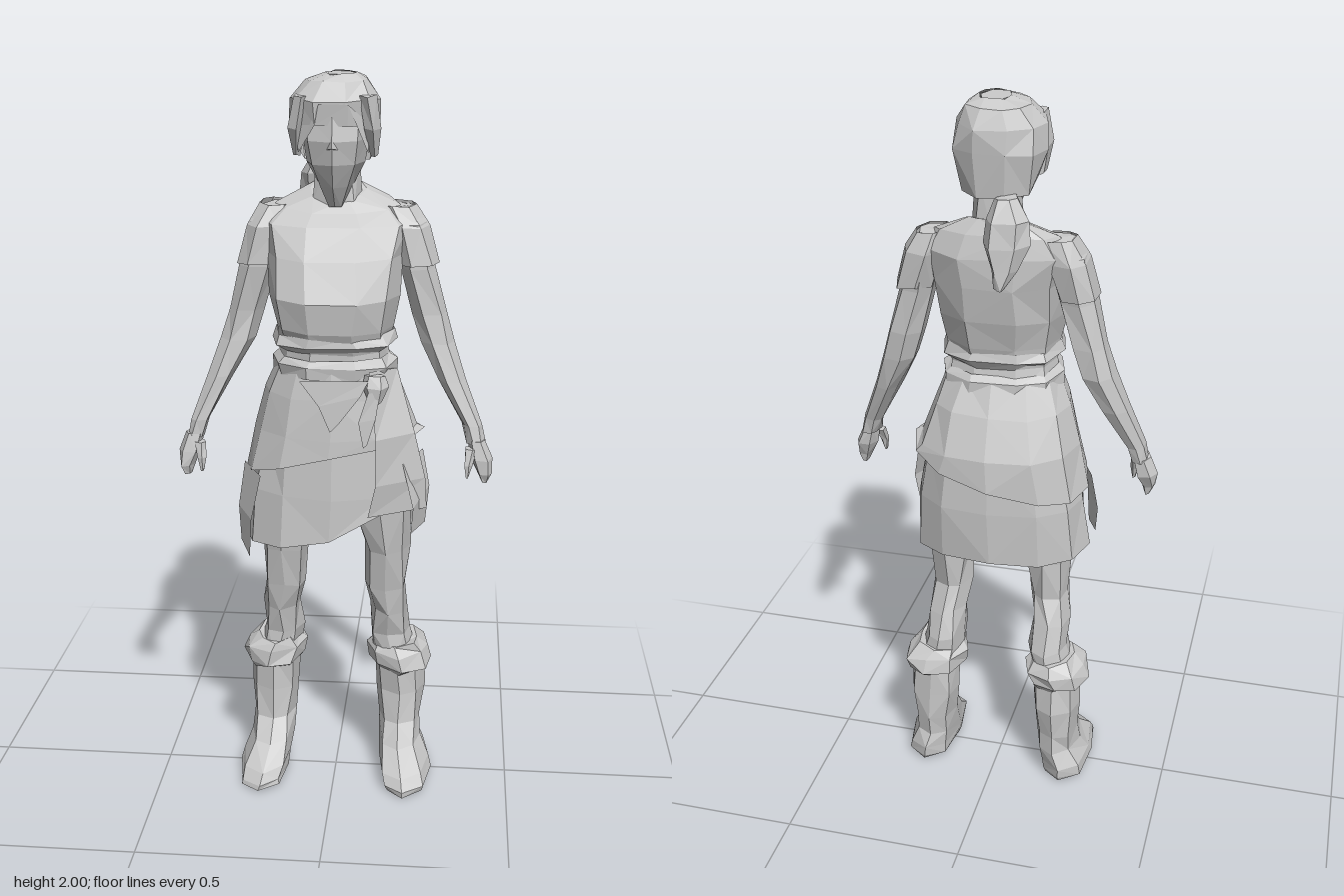
import * as THREE from 'three';

const stone = new THREE.MeshStandardMaterial({ color: 0xcccccc, side: THREE.DoubleSide });
stone.name = 'plain grey';

// Small repeatable offsets that give the facets a hand-cut look
let seed = 7;
const wobble = (amount) => {
  seed = (seed * 16807) % 2147483647;
  return (seed / 2147483647 - 0.5) * 2 * amount;
};

const bend = (v, p) => Math.sign(v) * Math.pow(Math.abs(v), p);

// Rings from top to bottom, each row: [y, xMin, xMax, zBack, zFront, forward tilt]
// hem(angle) drops the last ring; angle 0 is the model's left, PI/2 the front.
function loft(rows, { sides = 8, open = false, hem = null, rough = 0.005, power = 0.85, turn = 0 } = {}) {
  const pos = [], index = [];
  rows.forEach(([y, x0, x1, zb, zf, tilt = 0], r) => {
    for (let i = 0; i < sides; i++) {
      const a = ((i + turn) / sides) * Math.PI * 2;
      const c = bend(Math.cos(a), power), s = bend(Math.sin(a), power);
      const drop = hem && r === rows.length - 1 ? hem(a) : 0;
      pos.push((x0 + x1) / 2 + (c * (x1 - x0)) / 2 + wobble(rough),
        y + tilt * s + drop + wobble(rough * 0.7),
        (zb + zf) / 2 + (s * (zf - zb)) / 2 + wobble(rough));
    }
  });
  for (let r = 0; r < rows.length - 1; r++) {
    for (let i = 0; i < sides; i++) {
      const a = r * sides + i, b = r * sides + ((i + 1) % sides), c = a + sides, d = b + sides;
      if ((r + i) % 2) index.push(a, b, c, b, d, c);
      else index.push(a, b, d, a, d, c);
    }
  }
  if (!open) {
    const last = (rows.length - 1) * sides;
    for (let i = 1; i < sides - 1; i++) {
      index.push(0, i + 1, i, last, last + i, last + i + 1);
    }
  }
  return facet(pos, index);
}

function facet(pos, index) {
  const g = new THREE.BufferGeometry();
  g.setAttribute('position', new THREE.Float32BufferAttribute(pos, 3));
  g.setIndex(index);
  const flat = g.toNonIndexed();
  flat.computeVertexNormals();
  return flat;
}

// Thin strip of cloth: rows of left point and right point
function strip(rows) {
  const index = [];
  for (let i = 0; i < rows.length - 1; i++) {
    const a = i * 2;
    index.push(a, a + 2, a + 1, a + 1, a + 2, a + 3);
  }
  return facet(rows.flat(), index);
}

const flip = (rows, s) => rows.map(([y, a, b, ...rest]) => (s > 0 ? [y, a, b, ...rest] : [y, -b, -a, ...rest]));

export function createModel() {
  const model = new THREE.Group();
  model.name = 'standing figure';
  const add = (name, geometry) => {
    const mesh = new THREE.Mesh(geometry, stone);
    mesh.name = name;
    model.add(mesh);
  };

  // Head, with the face narrowing to the chin
  add('head', loft([
    [1.96, -0.07, 0.07, -0.1, 0.09],
    [1.9, -0.085, 0.085, -0.11, 0.115],
    [1.84, -0.085, 0.085, -0.11, 0.125],
    [1.78, -0.075, 0.075, -0.1, 0.11],
    [1.72, -0.045, 0.045, -0.08, 0.08],
    [1.665, -0.02, 0.02, -0.04, 0.04],
  ], { rough: 0.002 }));
  add('nose', facet(
    [0, 1.87, 0.118, -0.015, 1.82, 0.112, 0.015, 1.82, 0.112, 0, 1.825, 0.135],
    [0, 1, 3, 0, 3, 2, 1, 2, 3]));

  // Hair cap, high over the brow and low at the sides and nape
  add('hair', loft([
    [2.0, -0.03, 0.05, -0.07, 0.05],
    [1.985, -0.075, 0.08, -0.115, 0.09],
    [1.94, -0.115, 0.11, -0.135, 0.13],
    [1.88, -0.122, 0.118, -0.14, 0.12],
    [1.8, -0.105, 0.105, -0.125, 0.122],
  ], { sides: 10, open: true, rough: 0.006,
    hem: (a) => (Math.sin(a) > 0.6 ? 0.13 : Math.sin(a) < -0.5 ? -0.03 : 0.01) }));
  add('hairCrown', loft([
    [2.0, -0.03, 0.05, -0.07, 0.05],
    [1.97, -0.03, 0.05, -0.07, 0.05],
  ], { sides: 6, rough: 0 }));
  for (const s of [-1, 1]) {
    add('sideLock', loft(flip([
      [1.95, 0.06, 0.105, 0.02, 0.115],
      [1.87, 0.075, 0.12, 0.01, 0.11],
      [1.8, 0.09, 0.108, 0.02, 0.075],
    ], s), { sides: 5, rough: 0.004 }));
  }
  add('ponytail', loft([
    [1.78, -0.07, -0.015, -0.165, -0.1],
    [1.73, -0.105, 0.0, -0.2, -0.09],
    [1.67, -0.11, 0.005, -0.205, -0.11],
    [1.61, -0.085, -0.015, -0.205, -0.14],
    [1.565, -0.055, -0.03, -0.205, -0.18],
  ], { sides: 6 }));
  add('neck', loft([
    [1.8, -0.055, 0.055, -0.1, 0.02],
    [1.66, -0.07, 0.07, -0.12, 0.03],
  ], { sides: 7 }));

  // Upper body in a fitted tunic
  add('torso', loft([
    [1.7, -0.075, 0.075, -0.125, 0.015, -0.02],
    [1.665, -0.16, 0.16, -0.14, 0.045, -0.015],
    [1.62, -0.2, 0.2, -0.15, 0.09],
    [1.54, -0.18, 0.18, -0.145, 0.15],
    [1.44, -0.172, 0.172, -0.13, 0.205],
    [1.36, -0.158, 0.158, -0.105, 0.19],
    [1.3, -0.145, 0.145, -0.09, 0.16],
    [1.24, -0.155, 0.155, -0.1, 0.16],
  ], { sides: 10 }));
  add('tunicFold', loft([
    [1.35, -0.158, 0.158, -0.095, 0.175],
    [1.32, -0.168, 0.168, -0.105, 0.185],
    [1.3, -0.145, 0.145, -0.08, 0.16],
  ], { sides: 10, open: true, rough: 0.007 }));
  add('belt', loft([
    [1.285, -0.15, 0.15, -0.09, 0.165],
    [1.265, -0.168, 0.168, -0.11, 0.178],
    [1.235, -0.165, 0.165, -0.11, 0.17],
  ], { sides: 10, open: true }));

  // Two-layer skirt, cut higher over the left thigh
  add('underSkirt', loft([
    [1.22, -0.155, 0.155, -0.11, 0.155],
    [1.05, -0.21, 0.21, -0.165, 0.165],
    [0.9, -0.235, 0.235, -0.165, 0.165],
    [0.76, -0.25, 0.245, -0.15, 0.165],
  ], { sides: 12, open: true,
    hem: (a) => (Math.sin(a) < -0.3 ? -0.02 : Math.cos(a) > 0.3 ? 0.1 : Math.cos(a) > -0.3 ? 0.02 : -0.01) }));
  add('overSkirt', loft([
    [1.27, -0.152, 0.152, -0.1, 0.165],
    [1.18, -0.19, 0.185, -0.145, 0.172],
    [1.07, -0.222, 0.22, -0.185, 0.18],
    [0.97, -0.25, 0.24, -0.185, 0.18],
  ], { sides: 12, open: true,
    hem: (a) => 0.03 + 0.06 * Math.cos(a) + 0.02 * Math.sin(a) }));
  add('hipFlap', strip([
    [0.1, 1.26, 0.17, 0.17, 1.25, 0.08],
    [0.12, 1.08, 0.19, 0.22, 1.08, 0.11],
    [0.12, 0.95, 0.185, 0.25, 0.95, 0.1],
    [0.1, 0.86, 0.18, 0.255, 0.86, 0.09],
  ]));
  add('leftSidePanel', strip([
    [0.19, 1.0, 0.14, 0.24, 1.0, 0.0],
    [0.22, 0.88, 0.155, 0.26, 0.9, 0.02],
    [0.215, 0.81, 0.16, 0.25, 0.8, 0.04],
  ]));
  add('rightSidePanel', strip([
    [-0.25, 0.96, 0.03, -0.19, 0.96, 0.155],
    [-0.265, 0.84, 0.06, -0.215, 0.84, 0.17],
    [-0.255, 0.75, 0.09, -0.22, 0.735, 0.175],
  ]));

  // Knotted sash
  add('sashKnot', loft([
    [1.25, 0.09, 0.14, 0.14, 0.18],
    [1.22, 0.08, 0.15, 0.13, 0.195],
    [1.18, 0.1, 0.135, 0.15, 0.185],
  ], { sides: 6, rough: 0.003 }));
  add('sashTail', strip([
    [0.1, 1.21, 0.19, 0.13, 1.21, 0.185],
    [0.075, 1.13, 0.195, 0.12, 1.14, 0.192],
    [0.088, 1.06, 0.195, 0.098, 1.07, 0.195],
  ]));
  add('sashLoop', strip([
    [-0.08, 1.235, 0.183, 0.1, 1.24, 0.185],
    [-0.03, 1.17, 0.188, 0.08, 1.2, 0.19],
    [0.0, 1.1, 0.19, 0.02, 1.12, 0.19],
  ]));

  for (const s of [-1, 1]) {
    const side = s > 0 ? 'left' : 'right';
    // Arm hanging outward, with a sleeve cap at the shoulder
    add(side + 'Arm', loft(flip([
      [1.66, 0.13, 0.2, -0.1, 0.0],
      [1.62, 0.13, 0.235, -0.115, 0.03],
      [1.5, 0.165, 0.262, -0.105, 0.03],
      [1.38, 0.2, 0.295, -0.1, 0.02],
      [1.3, 0.225, 0.318, -0.095, 0.025],
      [1.2, 0.278, 0.352, -0.07, 0.04],
      [1.08, 0.345, 0.395, -0.025, 0.055],
      [1.03, 0.36, 0.41, -0.015, 0.06],
    ], s), { sides: 7, rough: 0.004 }));
    add(side + 'Sleeve', loft(flip([
      [1.665, 0.12, 0.205, -0.11, 0.01],
      [1.61, 0.13, 0.245, -0.125, 0.04],
      [1.51, 0.16, 0.272, -0.115, 0.04],
    ], s), { sides: 7, open: true }));
    add(side + 'Hand', loft(flip([
      [1.04, 0.36, 0.41, -0.01, 0.06],
      [0.99, 0.37, 0.43, -0.01, 0.07],
      [0.95, 0.39, 0.428, 0.01, 0.07],
      [0.925, 0.4, 0.415, 0.02, 0.06],
    ], s), { sides: 6, rough: 0.003 }));
    add(side + 'Thumb', loft(flip([
      [1.02, 0.355, 0.385, 0.03, 0.07],
      [0.98, 0.352, 0.375, 0.055, 0.085],
      [0.945, 0.357, 0.366, 0.07, 0.085],
    ], s), { sides: 5, rough: 0.002 }));

    // Leg
    add(side + 'Leg', loft(flip([
      [1.0, 0.01, 0.2, -0.12, 0.13],
      [0.85, 0.045, 0.215, -0.11, 0.125],
      [0.72, 0.08, 0.208, -0.09, 0.1],
      [0.6, 0.09, 0.2, -0.075, 0.075],
      [0.52, 0.1, 0.21, -0.105, 0.05],
      [0.44, 0.1, 0.21, -0.13, 0.035],
      [0.35, 0.11, 0.23, -0.13, 0.03],
    ], s), { sides: 8, rough: 0.008 }));

    // Boot with a turned-down cuff
    add(side + 'BootCuff', loft(flip([
      [0.41, 0.11, 0.235, -0.13, 0.035],
      [0.38, 0.092, 0.268, -0.16, 0.045],
      [0.34, 0.1, 0.275, -0.155, 0.048],
      [0.32, 0.12, 0.245, -0.13, 0.03],
    ], s), { sides: 8, rough: 0.009 }));
    add(side + 'Boot', loft(flip([
      [0.36, 0.11, 0.25, -0.135, 0.03],
      [0.25, 0.115, 0.255, -0.14, 0.022],
      [0.16, 0.125, 0.245, -0.13, 0.035],
      [0.1, 0.125, 0.25, -0.13, 0.08],
      [0.05, 0.13, 0.275, -0.14, 0.155],
      [0.02, 0.135, 0.28, -0.14, 0.185],
      [0.005, 0.14, 0.275, -0.13, 0.18],
    ], s), { sides: 8, rough: 0.005 }));
  }
  return model;
}
